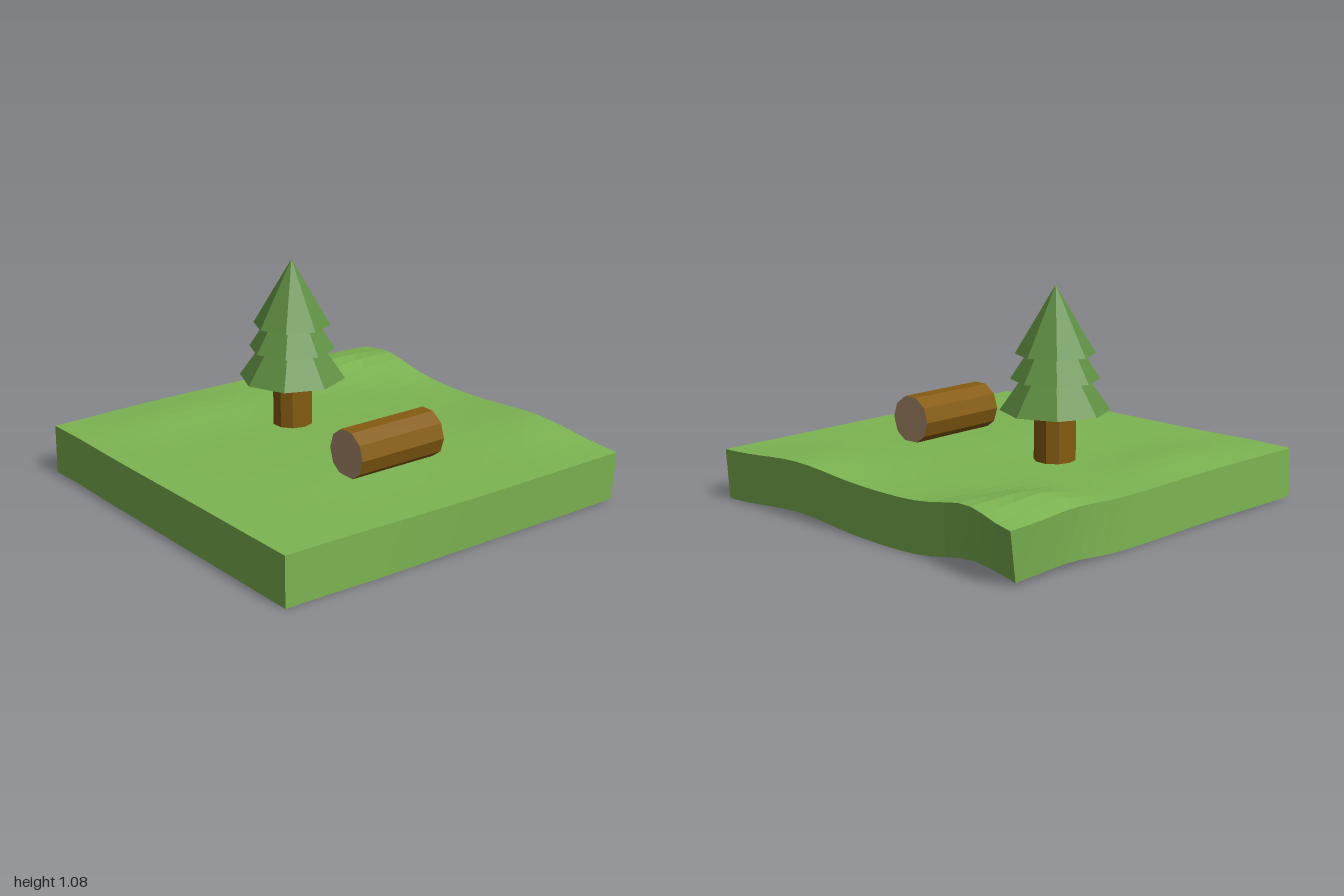
import * as THREE from 'three';

const paint = (color) => new THREE.MeshStandardMaterial({ color, flatShading: true, side: THREE.DoubleSide });

// Soft bump used to shape the ground: centre, spread and height
const BUMPS = [
  [0.95, 0.45, 0.4, 0.32, 0.035],
  [0.95, -0.7, 0.25, 0.24, 0.05],
  [0.62, -0.8, 0.22, 0.2, 0.055],
  [-0.4, -0.72, 0.45, 0.22, 0.022],
  [-0.2, 0.25, 0.5, 0.4, 0.012],
];
const height = (x, z) => BUMPS.reduce(
  (y, [cx, cz, sx, sz, h]) => y + h * Math.exp(-(((x - cx) / sx) ** 2) - ((z - cz) / sz) ** 2), 0.243);

const N = 22;

// Point of the ground grid; the back right corner is pulled outwards
function groundPoint(i, j) {
  const u = i / N, v = j / N;
  const pull = THREE.MathUtils.smoothstep(1 - v, 0.78, 1);
  const right = 0.94 + 0.06 * pull;
  const x = -0.99 + u * (right + 0.99);
  const back = -0.96 - 0.033 * THREE.MathUtils.smoothstep(u, 0.6, 0.95);
  const front = 0.96 + 0.027 * THREE.MathUtils.smoothstep(u, 0, 0.6);
  const z = back + v * (front - back);
  return [x, height(x, z), z];
}

function groundTop() {
  const pos = [], index = [];
  for (let j = 0; j <= N; j++) for (let i = 0; i <= N; i++) pos.push(...groundPoint(i, j));
  for (let j = 0; j < N; j++) {
    for (let i = 0; i < N; i++) {
      const a = j * (N + 1) + i, b = a + N + 1;
      index.push(a, b, a + 1, b, b + 1, a + 1);
    }
  }
  return build(pos, index);
}

// Skirt hanging from the rim; its lower edge follows the rim and is slightly inset
function groundWalls() {
  const rim = [];
  for (let k = 0; k < N; k++) rim.push([k, N]);
  for (let k = 0; k < N; k++) rim.push([N, N - k]);
  for (let k = 0; k < N; k++) rim.push([N - k, 0]);
  for (let k = 0; k < N; k++) rim.push([0, k]);
  const pos = [], index = [], count = rim.length;
  rim.forEach(([i, j], k) => {
    const [x, y, z] = groundPoint(i, j);
    pos.push(x, y, z);
    pos.push(Math.min(x, 0.935), Math.max(0, y - 0.244), THREE.MathUtils.clamp(z, -0.96, 0.97));
    const a = 2 * k, b = 2 * ((k + 1) % count);
    index.push(a, a + 1, b, a + 1, b + 1, b);
  });
  return build(pos, index);
}

function build(pos, index) {
  const g = new THREE.BufferGeometry();
  g.setAttribute('position', new THREE.Float32BufferAttribute(pos, 3));
  g.setIndex(index);
  g.computeVertexNormals();
  return g;
}

export function createModel() {
  const model = new THREE.Group();
  const grass = paint(0x7db552), leaf = paint(0x5f8f42), bark = paint(0x855c10), wood = paint(0xb0906f);

  const add = (parent, name, geometry, material, x = 0, y = 0, z = 0) => {
    const mesh = new THREE.Mesh(geometry, material);
    mesh.name = name;
    mesh.position.set(x, y, z);
    parent.add(mesh);
  };

  // Ground, open underneath
  const ground = new THREE.Group();
  ground.name = 'ground';
  add(ground, 'groundTop', groundTop(), grass);
  add(ground, 'groundWalls', groundWalls(), grass);
  model.add(ground);

  // Tree: trunk and three stacked cones (base height, tip height, radius)
  const tree = new THREE.Group();
  tree.name = 'tree';
  tree.position.set(-0.027, 0, -0.29);
  add(tree, 'trunk', new THREE.CylinderGeometry(0.1, 0.1, 0.27, 10), bark, 0, 0.375, 0);
  [[0.485, 0.86, 0.262], [0.635, 0.965, 0.212], [0.755, 1.08, 0.19]].forEach(([base, tip, r], k) => {
    add(tree, `foliage${k + 1}`, new THREE.ConeGeometry(r, tip - base, 8), leaf, 0, (base + tip) / 2, 0);
  });
  model.add(tree);

  // Fallen log with pale cut ends
  const log = new THREE.Group();
  log.name = 'log';
  log.position.set(-0.027, 0.358, 0.45);
  add(log, 'logBark', new THREE.CylinderGeometry(0.12, 0.12, 0.485, 10, 1, true).rotateZ(Math.PI / 2), bark);
  for (const side of [1, -1]) {
    add(log, side > 0 ? 'leftCutEnd' : 'rightCutEnd',
      new THREE.CircleGeometry(0.12, 10).rotateY(side * Math.PI / 2), wood, side * 0.2425, 0, 0);
  }
  model.add(log);

  return model;
}
